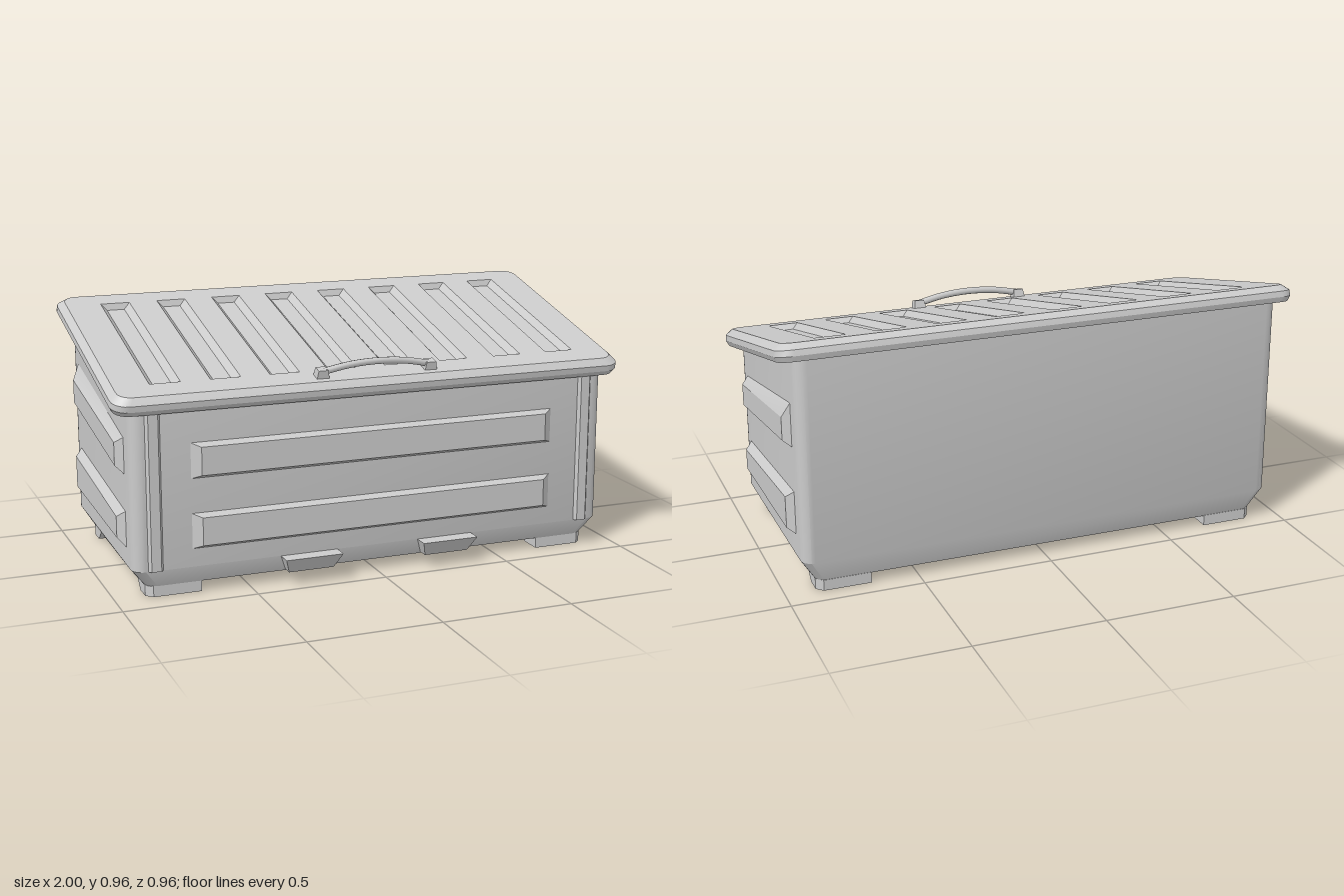
import * as THREE from 'three';
import { toCreasedNormals } from 'three/addons/utils/BufferGeometryUtils.js';

const V = (x, y, z) => new THREE.Vector3(x, y, z);
const material = new THREE.MeshStandardMaterial({ color: 0xcccccc });

function add(parent, name, geometry) {
  const mesh = new THREE.Mesh(geometry, material);
  mesh.name = name;
  parent.add(mesh);
}

// Skin between rings of equal length, with optional fan caps
function loft(rings, capStart = false, capEnd = true) {
  const pos = [];
  const tri = (...pts) => pts.forEach((p) => pos.push(p.x, p.y, p.z));
  const n = rings[0].length;
  for (let k = 0; k < rings.length - 1; k++) {
    const a = rings[k], b = rings[k + 1];
    for (let i = 0; i < n; i++) {
      const j = (i + 1) % n;
      tri(a[i], a[j], b[j]);
      tri(a[i], b[j], b[i]);
    }
  }
  const cap = (ring, flip) => {
    const c = ring.reduce((s, p) => s.add(p), V(0, 0, 0)).divideScalar(n);
    ring.forEach((p, i) => {
      const q = ring[(i + 1) % n];
      if (flip) tri(c, q, p); else tri(c, p, q);
    });
  };
  if (capStart) cap(rings[0], true);
  if (capEnd) cap(rings[rings.length - 1], false);
  const g = new THREE.BufferGeometry();
  g.setAttribute('position', new THREE.Float32BufferAttribute(pos, 3));
  return toCreasedNormals(g, 0.4);
}

// Rounded rectangle seen from above, counter-clockwise; y follows a rule of z
function roundRect(hx, zBack, zFront, r, y, seg = 5) {
  const corners = [[1, zBack + r], [-1, zBack + r], [-1, zFront - r], [1, zFront - r]];
  return corners.flatMap(([s, cz], c) =>
    Array.from({ length: seg + 1 }, (_, i) => {
      const t = (c + i / seg) * Math.PI / 2;
      const z = cz - r * Math.sin(t);
      return V(s * (hx - r) + r * Math.cos(t), y(z), z);
    }));
}

// Rectangles lying flat and facing the front
const rect = (x0, x1, z0, z1, y) => [V(x0, y, z1), V(x1, y, z1), V(x1, y, z0), V(x0, y, z0)];
const frontRect = (x0, x1, y0, y1, z) => [V(x0, y0, z), V(x1, y0, z), V(x1, y1, z), V(x0, y1, z)];
const mirror = (ring) => ring.map((p) => V(-p.x, p.y, p.z)).reverse();

function addPair(parent, name, rings, capStart = false) {
  add(parent, name + 'Left', loft(rings, capStart));
  add(parent, name + 'Right', loft(rings.map(mirror), capStart));
}

export function createModel() {
  const model = new THREE.Group();
  model.name = 'storageBin';
  const SLOPE = 0.244, LID_Y = 0.787;

  // Bin body with a tapered foot band and a sloping top
  add(model, 'body', loft([
    roundRect(0.885, -0.425, 0.395, 0.04, () => 0.04),
    roundRect(0.937, -0.45, 0.42, 0.045, (z) => 0.115 - 0.023 * z),
    roundRect(0.937, -0.45, 0.42, 0.045, (z) => LID_Y + 0.008 - SLOPE * z),
  ], true));

  // Raised panels on the front
  for (const [y0, y1] of [[0.433, 0.565], [0.173, 0.305]]) {
    add(model, 'frontPanel', loft([
      frontRect(-0.72, 0.715, y0, y1, 0.419),
      frontRect(-0.685, 0.68, y0 + 0.014, y1 - 0.014, 0.444)]));
  }

  // Raised panels on the sides: [front bottom, back bottom, back top, front top]
  const sidePanel = (outer, inner) => {
    const ring = (x, zf, zb, [a, b, c, d]) => [V(x, a, zf), V(x, b, zb), V(x, c, zb), V(x, d, zf)];
    addPair(model, 'sidePanel', [
      ring(0.936, 0.327, -0.361, outer), ring(0.965, 0.3, -0.335, inner)]);
  };
  sidePanel([0.447, 0.547, 0.715, 0.583], [0.475, 0.567, 0.655, 0.56]);
  sidePanel([0.175, 0.21, 0.376, 0.311], [0.207, 0.228, 0.35, 0.287]);

  // Upright ribs near the front corners
  addPair(model, 'cornerRib', [
    frontRect(0.828, 0.884, 0.106, 0.69, 0.419), frontRect(0.838, 0.874, 0.106, 0.69, 0.433)]);

  // Flared lifting ledges at the front
  addPair(model, 'liftLedge', [
    rect(0.185, 0.36, 0.36, 0.44, 0.045), rect(0.162, 0.384, 0.36, 0.48, 0.105)], true);

  // Feet with a sloping inner face and a clipped outer corner
  for (const [name, outer, low, high, s] of [
    ['frontFoot', 0.395, 0.305, 0.26, 1], ['backFoot', -0.427, -0.34, -0.295, -1]]) {
    const ring = (zIn, y) => {
      const pts = [V(0.68, y, zIn), V(0.68, y, outer), V(0.86, y, outer),
        V(0.885, y, outer - 0.025 * s), V(0.885, y, zIn)];
      return s > 0 ? pts : pts.reverse();
    };
    addPair(model, name, [ring(low, 0), ring(high, 0.042)], true);
  }

  // Tilted lid with a chamfered rim
  const lid = new THREE.Group();
  lid.name = 'lid';
  lid.position.y = LID_Y;
  lid.rotation.x = Math.atan(SLOPE);
  model.add(lid);
  const TOP = 0.064;
  const lidRing = (inset, y) =>
    roundRect(1 - inset, -0.498 + inset, 0.457 - inset, 0.06 - inset * 0.4, () => y);
  const topRing = lidRing(0.027, TOP);
  add(lid, 'lidRim', loft([
    lidRing(0.01, 0), lidRing(0, 0.02), lidRing(0.002, 0.042), topRing], true, false));

  // Lid top pierced by eight sunken channels
  const flat = (ring) => ring.map((p) => new THREE.Vector2(p.x, -p.z));
  const top = new THREE.Shape(flat(topRing));
  for (let i = 0; i < 8; i++) {
    const x = (i - 3.5) * 0.224;
    const rim = rect(x - 0.057, x + 0.057, -0.386, 0.335, TOP);
    const floor = rect(x - 0.034, x + 0.034, -0.372, 0.321, TOP - 0.022);
    top.holes.push(new THREE.Path(flat(rim).reverse()));
    add(lid, 'lidChannel', loft([rim, floor]));
  }
  add(lid, 'lidTop', new THREE.ShapeGeometry(top).rotateX(-Math.PI / 2).translate(0, TOP, 0));

  // Bowed handle on two mounts
  const HZ = 0.386;
  const bow = new THREE.CatmullRomCurve3([-0.22, -0.11, 0, 0.11, 0.22].map(
    (x) => V(x, TOP + 0.045 - 0.029 * (x / 0.22) ** 2, HZ)));
  add(lid, 'handleBar', new THREE.TubeGeometry(bow, 20, 0.013, 8));
  addPair(lid, 'handleMount', [
    rect(0.188, 0.238, HZ - 0.021, HZ + 0.021, TOP - 0.005),
    rect(0.195, 0.232, HZ - 0.018, HZ + 0.018, TOP + 0.03)], true);

  return model;
}
